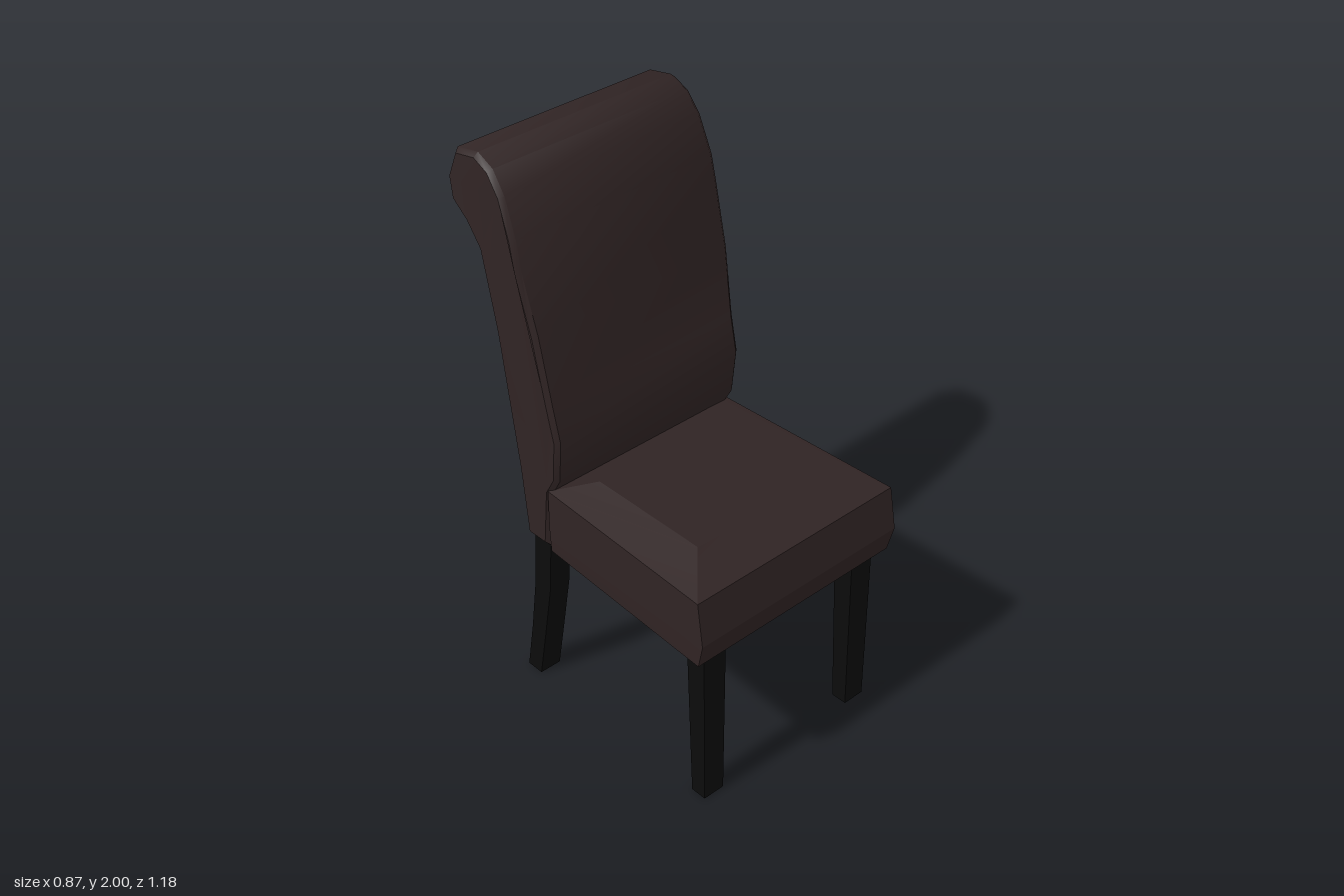
import * as THREE from 'three';
import { toCreasedNormals } from 'three/addons/utils/BufferGeometryUtils.js';

const upholstery = new THREE.MeshStandardMaterial({ color: 0x302424 });
upholstery.name = 'darkBrownUpholstery';
const wood = new THREE.MeshStandardMaterial({ color: 0x0b0b0b });
wood.name = 'blackWood';
const lining = new THREE.MeshStandardMaterial({ color: 0x3a3220 });
lining.name = 'oliveLining';

// Four-cornered ring, counter-clockwise seen from above
const ring = (y, x0, x1, zBack, zFront) =>
  [[x0, y, zFront], [x1, y, zFront], [x1, y, zBack], [x0, y, zBack]];

// Closed solid through four-cornered rings, listed from bottom to top
function loft(rings, crease = 0.5) {
  const pos = [];
  const quad = (a, b, c, d) => pos.push(...a, ...b, ...c, ...a, ...c, ...d);
  for (let r = 0; r < rings.length - 1; r++) {
    for (let i = 0; i < 4; i++) {
      const j = (i + 1) % 4;
      quad(rings[r][i], rings[r][j], rings[r + 1][j], rings[r + 1][i]);
    }
  }
  quad(...[...rings[0]].reverse());
  quad(...rings[rings.length - 1]);
  const g = new THREE.BufferGeometry();
  g.setAttribute('position', new THREE.Float32BufferAttribute(pos, 3));
  return toCreasedNormals(g, crease);
}

// Half width of the backrest at a given height
const widths = [[0.63, 0.395], [1.2, 0.405], [1.7, 0.425], [2, 0.41]];
function halfWidth(y) {
  for (let i = 1; i < widths.length; i++) {
    const [y0, w0] = widths[i - 1], [y1, w1] = widths[i];
    if (y <= y1) return THREE.MathUtils.lerp(w0, w1, (y - y0) / (y1 - y0));
  }
  return 0.41;
}

// Rear line of the backrest as (z, y), from the roll down to the bottom
const rearLine = [[-0.44, 1.68], [-0.392, 1.4], [-0.355, 1.1], [-0.33, 0.9], [-0.305, 0.63]];

// Scrolled backrest: side profile extruded across x, then fitted to the width
function backrestGeometry() {
  const profile = [
    [-0.2, 0.63], [-0.175, 0.86], [-0.135, 0.93], [-0.12, 1.09], [-0.15, 1.22], [-0.193, 1.46],
    [-0.25, 1.67], [-0.272, 1.77], [-0.325, 1.9], [-0.38, 1.97], [-0.45, 2], [-0.55, 1.98],
    [-0.588, 1.88], [-0.57, 1.8], [-0.5, 1.75], ...rearLine,
  ].map(([z, y]) => new THREE.Vector2(z, y));
  const g = new THREE.ExtrudeGeometry(new THREE.Shape(profile), {
    depth: 1.92, steps: 1, bevelEnabled: true, bevelSegments: 1,
    bevelThickness: 0.04, bevelSize: 0.014, bevelOffset: -0.014,
  });
  g.translate(0, 0, -0.96).rotateY(-Math.PI / 2);
  const p = g.attributes.position;
  for (let i = 0; i < p.count; i++) p.setX(i, p.getX(i) * halfWidth(p.getY(i)));
  return toCreasedNormals(g, 0.7);
}

export function createModel() {
  const chair = new THREE.Group();
  chair.name = 'diningChair';
  const add = (name, geometry, material) => {
    const mesh = new THREE.Mesh(geometry, material);
    mesh.name = name;
    chair.add(mesh);
    return mesh;
  };

  add('backrest', backrestGeometry(), upholstery);

  // Vertical seam down the rear of the backrest
  const seam = [...rearLine].reverse().map(([z, y]) => ring(y, -0.003, 0.003, z - 0.003, z + 0.004));
  add('backSeam', loft(seam), wood);

  // Seat: wider at the front, with a bulging front and a slightly uneven crown
  const taper = (y, zFront, front, rear) =>
    [[-front, y, zFront], [front, y, zFront], [rear, y, -0.18], [-rear, y, -0.18]];
  const crown = [[-0.28, 0.92, 0.4], [0.28, 0.895, 0.4], [0.28, 0.895, -0.06], [-0.28, 0.92, -0.06]];
  add('seat', loft([
    taper(0.625, 0.565, 0.43, 0.395),
    taper(0.72, 0.588, 0.435, 0.4),
    taper(0.875, 0.562, 0.432, 0.4),
    crown,
  ], 0.3), upholstery);

  // Lining under the seat
  add('seatLining', loft([
    taper(0.618, 0.53, 0.385, 0.365),
    taper(0.626, 0.53, 0.385, 0.365),
  ]), lining);

  // Straight tapered front legs and swept rear legs
  const frontLeg = loft([
    ring(0, -0.042, 0.042, 0.485, 0.545),
    ring(0.63, -0.047, 0.047, 0.462, 0.54),
  ]);
  const rearLeg = loft([
    [0, -0.36, -0.292], [0.2, -0.327, -0.257], [0.42, -0.298, -0.22], [0.64, -0.285, -0.205],
  ].map(([y, zBack, zFront]) => ring(y, -0.042, 0.042, zBack, zFront)));
  for (const [side, x] of [['left', 0.335], ['right', -0.335]]) {
    add(side + 'FrontLeg', frontLeg, wood).position.x = x;
    add(side + 'RearLeg', rearLeg, wood).position.x = x;
  }
  return chair;
}
